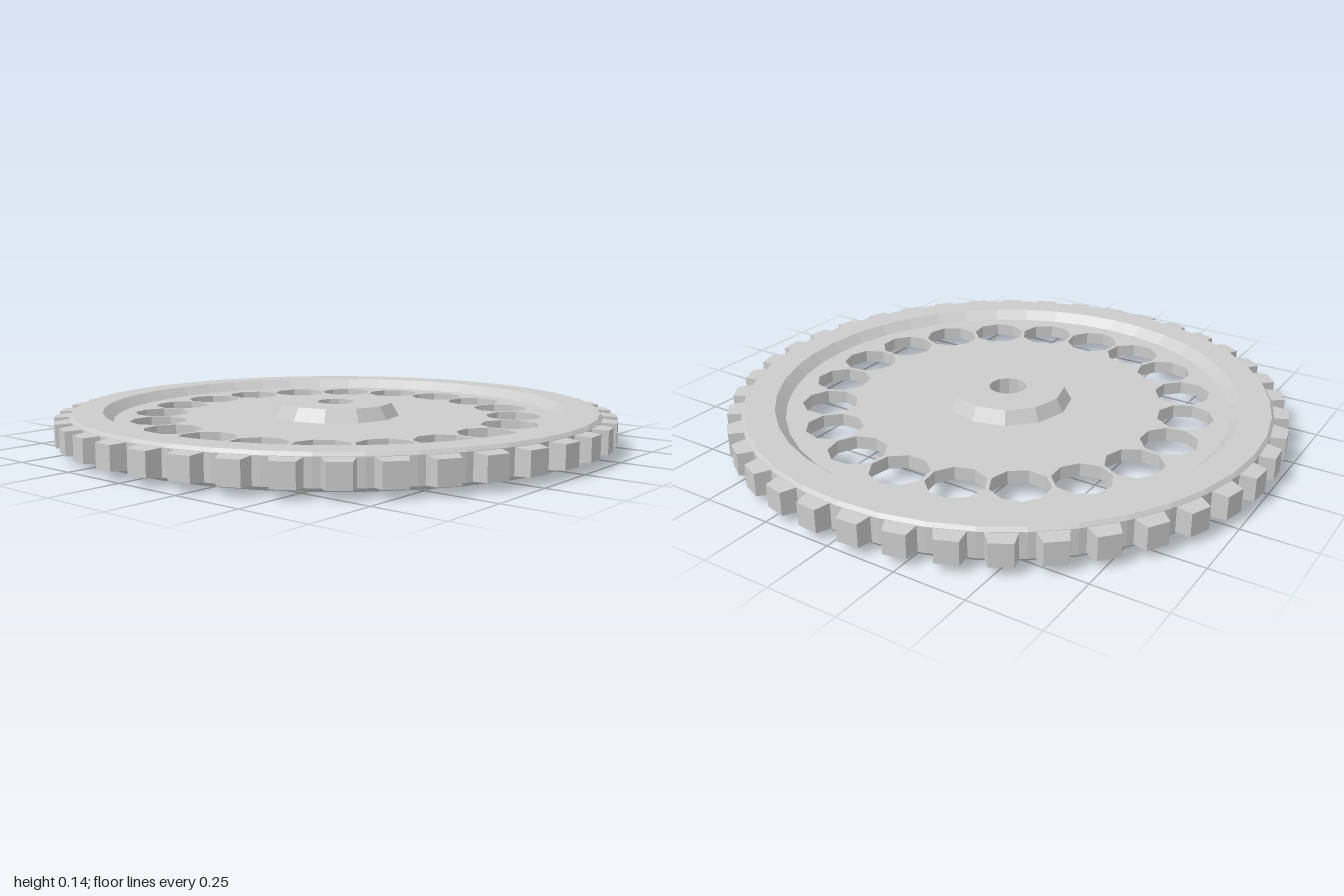
import * as THREE from 'three';

const MID = 0.07;        // middle height of the wheel
const WEB = 0.023;       // half thickness of the web
const TEETH = 40;
const HOLES = 20;

const material = new THREE.MeshStandardMaterial({ color: 0xcccccc, flatShading: true });

function addMesh(parent, name, geometry) {
  const mesh = new THREE.Mesh(geometry, material);
  mesh.name = name;
  parent.add(mesh);
  return mesh;
}

// Closed ring turned from [radius, height above middle] pairs, bottom to top on the outside
function turned(profile, sides, start = 0) {
  const points = [...profile, profile[0]].map(([r, y]) => new THREE.Vector2(r, y + MID));
  return new THREE.LatheGeometry(points, sides, start);
}

function polygon(PathType, radius, sides, cx = 0, cy = 0, start = 0) {
  const points = [];
  for (let i = 0; i < sides; i++) {
    const a = start + (i / sides) * Math.PI * 2;
    points.push(new THREE.Vector2(cx + radius * Math.cos(a), cy + radius * Math.sin(a)));
  }
  return new PathType(points);
}

// Thin disc pierced by a ring of nine-sided holes
function webGeometry() {
  const shape = polygon(THREE.Shape, 0.812, 40);
  shape.holes.push(polygon(THREE.Path, 0.14, 12));
  for (let i = 0; i < HOLES; i++) {
    const a = (i / HOLES) * Math.PI * 2;
    shape.holes.push(polygon(THREE.Path, 0.1, 9, 0.645 * Math.cos(a), 0.645 * Math.sin(a), a));
  }
  const geometry = new THREE.ExtrudeGeometry(shape, { depth: WEB * 2, bevelEnabled: false });
  geometry.rotateX(-Math.PI / 2);
  return geometry.translate(0, MID - WEB, 0);
}

// Block along +z, narrowing from root to tip
function toothGeometry() {
  const geometry = new THREE.BoxGeometry(1, 1, 1);
  const p = geometry.attributes.position;
  for (let i = 0; i < p.count; i++) {
    const tip = p.getZ(i) > 0;
    p.setXYZ(i, p.getX(i) * (tip ? 0.076 : 0.108), MID + p.getY(i) * (tip ? 0.08 : 0.09), tip ? 1 : 0.93);
  }
  geometry.computeVertexNormals();
  return geometry;
}

export function createModel() {
  const wheel = new THREE.Group();
  wheel.name = 'gearWheel';

  addMesh(wheel, 'web', webGeometry());

  // Raised rim with sloped inner walls and chamfered outer edges
  addMesh(wheel, 'rim', turned([
    [0.94, -0.057], [0.95, -0.045], [0.95, 0.045], [0.94, 0.057],
    [0.835, 0.057], [0.8, WEB], [0.8, -WEB], [0.835, -0.057],
  ], TEETH));

  // Tapered hub with a bore through it
  addMesh(wheel, 'hub', turned([
    [0.205, -0.07], [0.232, -WEB], [0.232, WEB], [0.205, 0.07],
    [0.068, 0.07], [0.068, -0.07],
  ], 12));

  // Teeth, with a gap facing each axis
  const teeth = new THREE.Group();
  teeth.name = 'teeth';
  wheel.add(teeth);
  const tooth = toothGeometry();
  for (let i = 0; i < TEETH; i++) {
    addMesh(teeth, 'tooth', tooth).rotation.y = ((i + 0.5) / TEETH) * Math.PI * 2;
  }
  return wheel;
}
